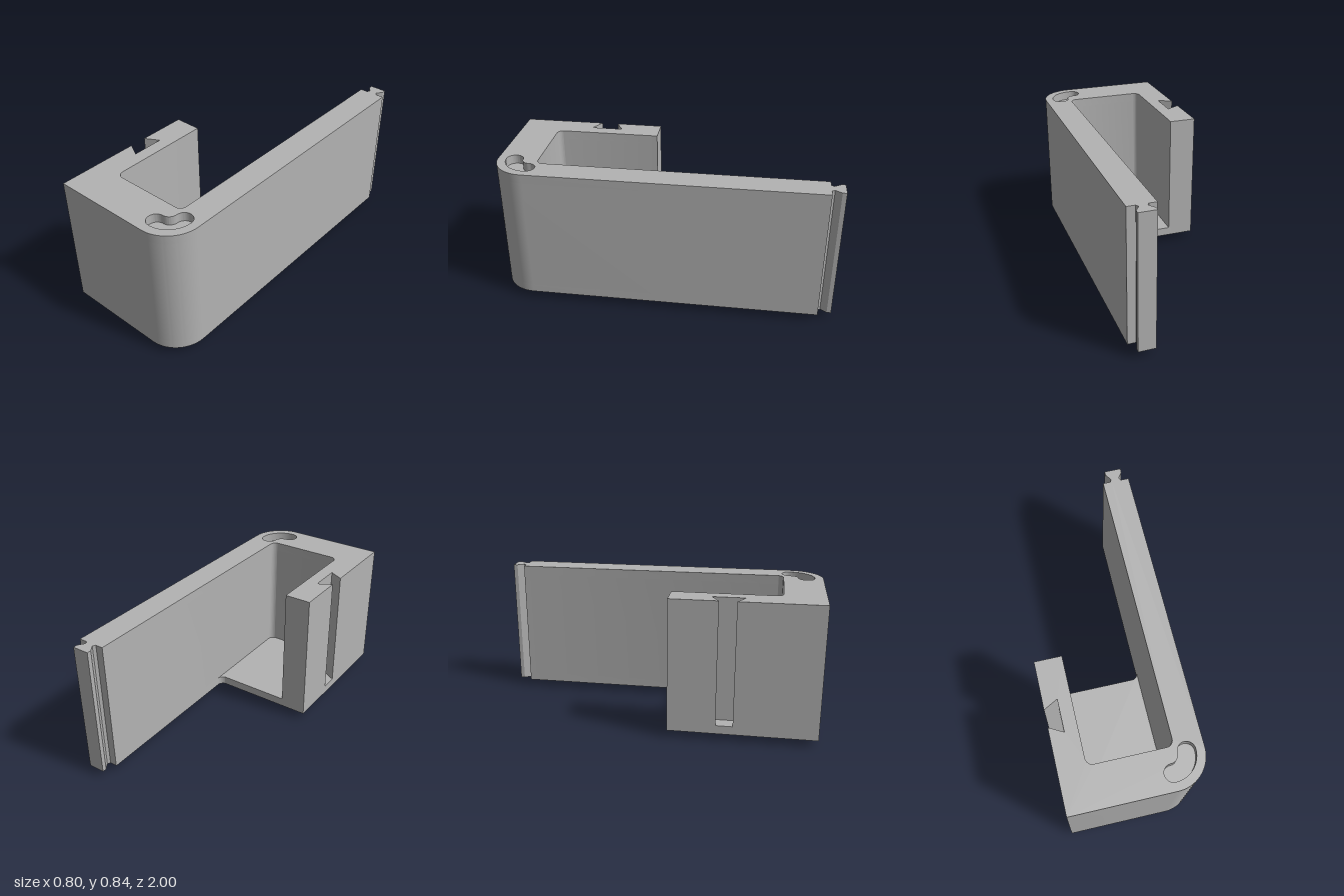
import * as THREE from 'three';
import { toCreasedNormals } from 'three/addons/utils/BufferGeometryUtils.js';

const BASE = 0.043, FLOOR = 0.095, SLOT = 0.79, TOP = 0.843;
const H = Math.PI / 2;

// Plan outline drawn in (x, -z); the floor layer is solid, the wall layers have pocket and groove
function outline(isFloor) {
  const s = new THREE.Shape();
  s.moveTo(-0.4, -0.125);
  if (!isFloor) {
    // dovetail groove in the left side
    s.lineTo(-0.4, -0.41);
    s.lineTo(-0.317, -0.365);
    s.lineTo(-0.317, -0.555);
    s.lineTo(-0.4, -0.51);
  }
  s.lineTo(-0.4, -1);
  s.lineTo(0.2, -1);
  s.absarc(0.2, -0.8, 0.2, -H, 0, false); // rounded outer corner
  s.lineTo(0.4, 0.92);
  // dovetail tongue at the end of the arm
  const half = [[0.033, 0.92], [0.024, 0.937], [0.05, 0.975], [0.05, 1]];
  half.forEach(([w, y]) => s.lineTo(0.318 + w, y));
  half.slice().reverse().forEach(([w, y]) => s.lineTo(0.318 - w, y));
  s.lineTo(0.24, 0.92);
  if (isFloor) {
    s.lineTo(0.24, -0.085);
    s.absarc(0.2, -0.085, 0.04, 0, -H, true);
    // fillet where the floor meets the arm
  } else {
    // pocket with rounded front corners
    s.lineTo(0.24, -0.72);
    s.absarc(0.2, -0.72, 0.04, 0, -H, true);
    s.lineTo(-0.2, -0.76);
    s.absarc(-0.2, -0.72, 0.04, -H, -2 * H, true);
    s.lineTo(-0.24, -0.125);
  }
  s.closePath();
  return s;
}

// Curved slot that follows the rounded corner
function slotPath() {
  const p = new THREE.Path();
  p.moveTo(0.35, -0.8);
  p.absarc(0.3, -0.8, 0.05, 0, 2 * H, false);
  p.absarc(0.2, -0.8, 0.05, 0, -H, true);
  p.absarc(0.2, -0.9, 0.05, H, 3 * H, false);
  p.absarc(0.2, -0.8, 0.15, -H, 0, false);
  return p;
}

function layer(name, shape, y0, y1, material) {
  let g = new THREE.ExtrudeGeometry(shape, { depth: y1 - y0, bevelEnabled: false, curveSegments: 16 });
  g.rotateX(-H);
  g.translate(0, y0, 0);
  g = toCreasedNormals(g, 0.5);
  const mesh = new THREE.Mesh(g, material);
  mesh.name = name;
  return mesh;
}

export function createModel() {
  const grey = new THREE.MeshStandardMaterial({ color: 0xb3b3b3 });
  grey.name = 'grey';
  const group = new THREE.Group();
  group.name = 'cornerBracket';

  const rim = outline(false);
  rim.holes.push(slotPath());
  group.add(
    layer('floor', outline(true), BASE, FLOOR, grey),
    layer('walls', outline(false), FLOOR, SLOT, grey),
    layer('slottedRim', rim, SLOT, TOP, grey)
  );

  // Chamfered locating peg below the rounded corner
  const profile = [[0, 0], [0.034, 0], [0.04, 0.007], [0.04, 0.05]].map(([r, y]) => new THREE.Vector2(r, y));
  const peg = new THREE.Mesh(toCreasedNormals(new THREE.LatheGeometry(profile, 32), 0.5), grey);
  peg.name = 'peg';
  peg.position.set(0.27, 0, 0.873);
  group.add(peg);

  return group;
}
